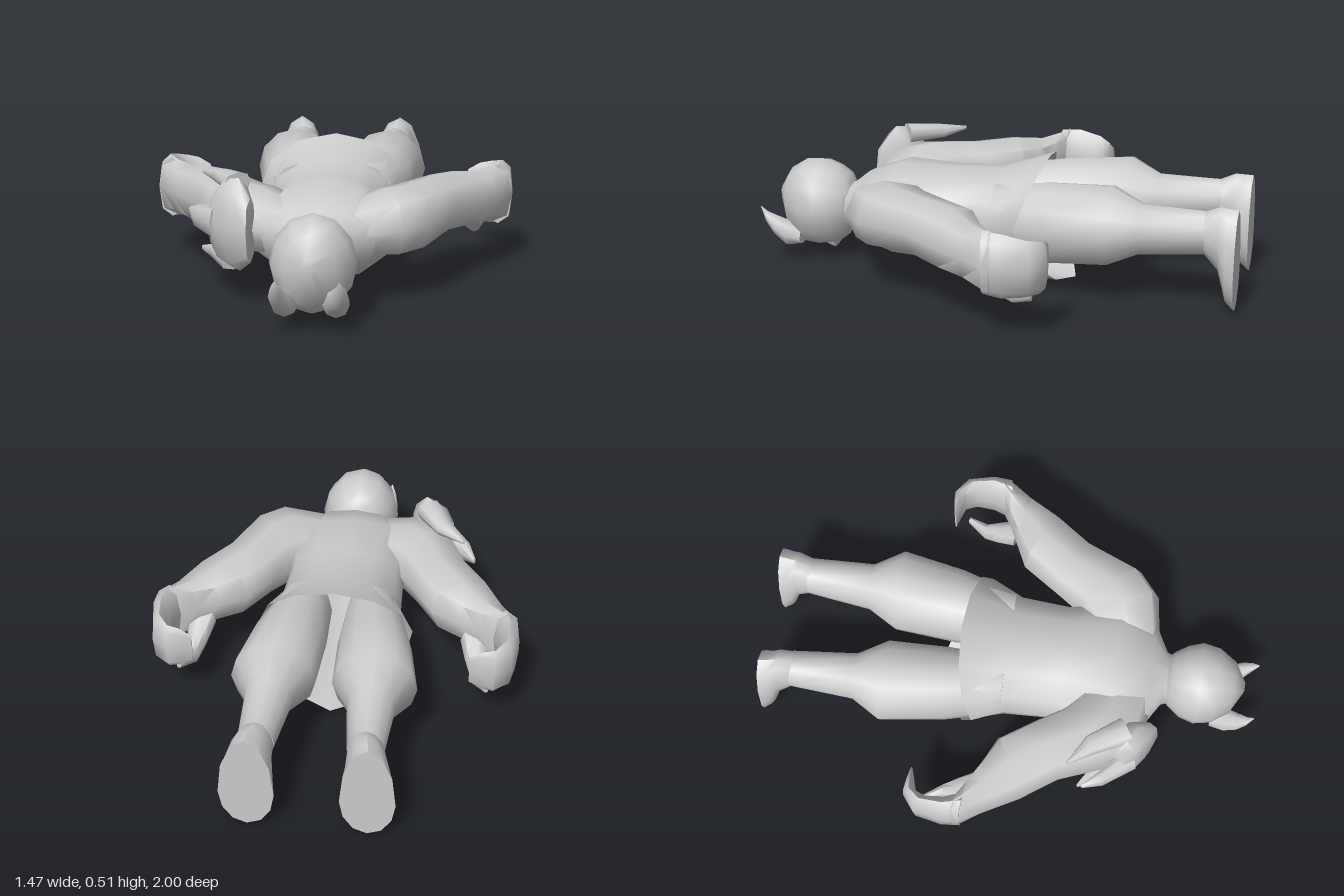
import * as THREE from 'three';
import { toCreasedNormals } from 'three/addons/utils/BufferGeometryUtils.js';

const material = new THREE.MeshStandardMaterial({ color: 0xcccccc, side: THREE.DoubleSide });

// Skin a list of equal-sized point rings; ends are capped unless left open
function loft(name, rings, openEnd = false) {
  const n = rings[0].length, pos = [], idx = [];
  rings.forEach(r => r.forEach(p => pos.push(...p)));
  for (let i = 0; i < rings.length - 1; i++) {
    for (let j = 0; j < n; j++) {
      const a = i * n + j, b = i * n + (j + 1) % n;
      idx.push(a, b, b + n, a, b + n, a + n);
    }
  }
  const last = (rings.length - 1) * n;
  for (let j = 1; j < n - 1; j++) {
    idx.push(0, j + 1, j);
    if (!openEnd) idx.push(last, last + j, last + j + 1);
  }
  // Turn the faces outward, whichever way the rings run
  let volume = 0;
  const v = i => new THREE.Vector3(pos[3 * i], pos[3 * i + 1] - 0.25, pos[3 * i + 2]);
  for (let i = 0; i < idx.length; i += 3) volume += v(idx[i]).dot(v(idx[i + 1]).cross(v(idx[i + 2])));
  if (volume < 0) idx.reverse();
  const geo = new THREE.BufferGeometry();
  geo.setAttribute('position', new THREE.Float32BufferAttribute(pos, 3));
  geo.setIndex(idx);
  const mesh = new THREE.Mesh(toCreasedNormals(geo, 1.0), material);
  mesh.name = name;
  return mesh;
}

// Ring across z: half width, top, bottom and the height of the widest line
function ringZ(z, w, top, bot, mid, cx = 0, n = 12, zAt = () => 0) {
  return Array.from({ length: n }, (_, j) => {
    const a = (j / n) * Math.PI * 2, s = Math.sin(a), c = Math.cos(a);
    return [cx + w * c, mid + s * (s > 0 ? top - mid : mid - bot), z + zAt(s)];
  });
}

// Upright ring between an outer and an inner point in plan
function ringPlan([ox, oz, ix, iz, top, bot], side, n = 8) {
  return Array.from({ length: n }, (_, j) => {
    const a = (j / n) * Math.PI * 2, k = j % 2 ? 1.08 : 1;
    const t = 0.5 + 0.5 * k * Math.cos(a);
    return [side * (ix + (ox - ix) * t), (top + bot) / 2 + (top - bot) / 2 * k * Math.sin(a), iz + (oz - iz) * t];
  });
}
const limb = (name, sections, side = 1) => loft(name, sections.map(s => ringPlan(s, side)));

export function createModel() {
  const model = new THREE.Group();
  model.name = 'lyingFigure';

  // Torso with a flared tunic hem, long and pointed at the belly
  const hem = s => (s > 0 ? -0.08 * s : -0.19 * s * s);
  model.add(loft('torso', [
    ringZ(0.68, 0.09, 0.32, 0.14, 0.24),
    ringZ(0.62, 0.11, 0.33, 0.12, 0.24),
    ringZ(0.56, 0.22, 0.38, 0.10, 0.27),
    ringZ(0.42, 0.29, 0.43, 0.06, 0.28),
    ringZ(0.20, 0.24, 0.43, 0.035, 0.27),
    ringZ(0.00, 0.25, 0.44, 0.01, 0.28, 0, 12, s => (s > 0 ? 0 : 0.03 * s)),
    ringZ(-0.13, 0.31, 0.51, 0.0, 0.29, 0, 12, hem),
  ], true));

  // Head, face downward and crown toward the front
  model.add(loft('head', [
    ringZ(0.62, 0.085, 0.31, 0.16, 0.24),
    ringZ(0.65, 0.11, 0.37, 0.10, 0.24),
    ringZ(0.70, 0.145, 0.40, 0.06, 0.23),
    ringZ(0.76, 0.165, 0.42, 0.05, 0.23),
    ringZ(0.83, 0.15, 0.415, 0.055, 0.23),
    ringZ(0.90, 0.10, 0.37, 0.10, 0.24),
    ringZ(0.945, 0.02, 0.29, 0.22, 0.26),
  ]));
  model.add(loft('chin', [
    ringZ(0.78, 0.03, 0.12, 0.06, 0.09, 0, 6),
    ringZ(0.71, 0.05, 0.13, 0.035, 0.09, 0, 6),
    ringZ(0.67, 0.04, 0.15, 0.09, 0.12, 0, 6),
  ]));

  for (const side of [1, -1]) {
    const label = side > 0 ? 'left' : 'right';

    // Horn curving up from the brow
    model.add(loft(label + 'Horn', [
      ringZ(0.83, 0.045, 0.14, 0.07, 0.10, side * 0.085, 8),
      ringZ(0.89, 0.05, 0.17, 0.06, 0.11, side * 0.095, 8),
      ringZ(0.94, 0.035, 0.195, 0.11, 0.15, side * 0.112, 8),
      ringZ(0.975, 0.018, 0.21, 0.16, 0.19, side * 0.118, 8),
      ringZ(1.0, 0.003, 0.228, 0.222, 0.225, side * 0.115, 8),
    ]));

    // Arm
    model.add(limb(label + 'Arm', [
      [0.14, 0.58, 0.08, 0.32, 0.38, 0.18],
      [0.32, 0.555, 0.17, 0.26, 0.43, 0.17],
      [0.42, 0.47, 0.22, 0.22, 0.43, 0.18],
      [0.51, 0.25, 0.28, 0.13, 0.42, 0.20],
      [0.61, 0.11, 0.375, -0.01, 0.42, 0.19],
      [0.68, -0.02, 0.48, -0.06, 0.40, 0.19],
      [0.735, -0.115, 0.57, -0.10, 0.41, 0.17],
      [0.737, -0.15, 0.63, -0.13, 0.42, 0.16],
    ], side));

    // Palm and fingers, curling inward
    model.add(limb(label + 'Hand', [
      [0.735, -0.115, 0.62, -0.10, 0.415, 0.165],
      [0.737, -0.19, 0.655, -0.18, 0.415, 0.16],
      [0.715, -0.30, 0.66, -0.25, 0.395, 0.17],
      [0.65, -0.35, 0.645, -0.295, 0.38, 0.175],
      [0.60, -0.343, 0.60, -0.31, 0.37, 0.19],
      [0.55, -0.332, 0.55, -0.325, 0.34, 0.22],
    ], side));
    model.add(limb(label + 'Thumb', [
      [0.62, -0.04, 0.50, -0.08, 0.27, 0.18],
      [0.615, -0.12, 0.525, -0.15, 0.23, 0.135],
      [0.605, -0.20, 0.555, -0.21, 0.19, 0.10],
      [0.63, -0.28, 0.61, -0.285, 0.17, 0.13],
    ], side));

    // Leg
    model.add(loft(label + 'Leg', [
      ringZ(-0.02, 0.11, 0.42, 0.12, 0.28, side * 0.14),
      ringZ(-0.25, 0.148, 0.45, 0.12, 0.29, side * 0.17),
      ringZ(-0.50, 0.165, 0.465, 0.15, 0.30, side * 0.197),
      ringZ(-0.62, 0.093, 0.405, 0.20, 0.30, side * 0.197),
      ringZ(-0.88, 0.07, 0.40, 0.225, 0.31, side * 0.205),
    ]));

    // Foot, toes down and sole facing back
    model.add(loft(label + 'Foot', [
      ringZ(-0.87, 0.068, 0.40, 0.23, 0.31, side * 0.205),
      ringZ(-0.93, 0.078, 0.425, 0.165, 0.29, side * 0.215),
      ringZ(-0.965, 0.093, 0.422, 0.04, 0.20, side * 0.222),
      ringZ(-1.0, 0.105, 0.42, 0.01, 0.16, side * 0.226),
    ]));
  }

  // Clawed guard on the right shoulder: plate and three hooked spikes
  const guard = new THREE.Group();
  guard.name = 'shoulderGuard';
  guard.add(limb('guardPlate', [
    [0.27, 0.62, 0.245, 0.54, 0.42, 0.17],
    [0.34, 0.595, 0.27, 0.48, 0.49, 0.125],
    [0.40, 0.555, 0.33, 0.43, 0.475, 0.14],
    [0.43, 0.51, 0.38, 0.42, 0.42, 0.20],
  ], -1));
  [
    [[0.36, 0.52, 0.27, 0.46, 0.50, 0.42], [0.43, 0.38, 0.36, 0.34, 0.485, 0.43], [0.485, 0.28, 0.475, 0.275, 0.46, 0.445]],
    [[0.42, 0.55, 0.34, 0.48, 0.38, 0.24], [0.505, 0.43, 0.45, 0.41, 0.355, 0.26], [0.53, 0.35, 0.52, 0.34, 0.325, 0.30]],
    [[0.38, 0.54, 0.29, 0.47, 0.21, 0.12], [0.44, 0.42, 0.38, 0.38, 0.195, 0.135], [0.485, 0.33, 0.475, 0.325, 0.165, 0.145]],
  ].forEach((sections, i) => guard.add(limb('guardSpike' + (i + 1), sections, -1)));
  model.add(guard);

  return model;
}
